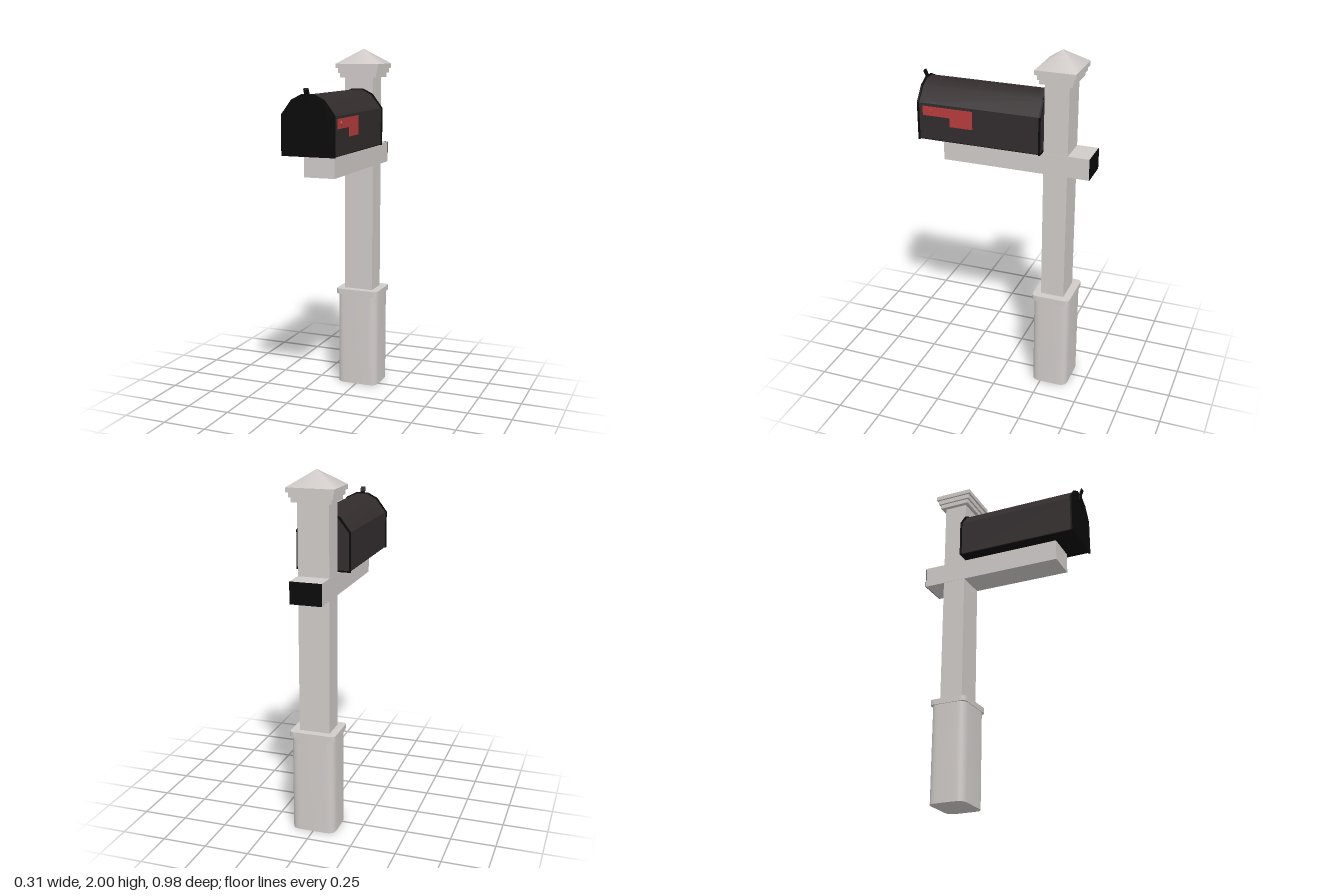
import * as THREE from 'three';
import { toCreasedNormals } from 'three/addons/utils/BufferGeometryUtils.js';

const material = (name, color) => {
  const m = new THREE.MeshStandardMaterial({ color });
  m.name = name;
  return m;
};

export function createModel() {
  const group = new THREE.Group();
  const white = material('weathered white', 0xd0cbc9);
  const brown = material('dark brown metal', 0x322c2d);
  const black = material('black', 0x0a0a0a);
  const red = material('flag red', 0xb83c3c);

  const add = (name, geometry, mat, x = 0, y = 0, z = 0) => {
    const mesh = new THREE.Mesh(geometry, mat);
    mesh.name = name;
    mesh.position.set(x, y, z);
    group.add(mesh);
    return mesh;
  };
  const box = (name, mat, [x0, x1], [y0, y1], [z0, z1]) =>
    add(name, new THREE.BoxGeometry(x1 - x0, y1 - y0, z1 - z0), mat,
      (x0 + x1) / 2, (y0 + y1) / 2, (z0 + z1) / 2);
  const extrude = (shape, depth, curveSegments = 6) =>
    new THREE.ExtrudeGeometry(shape, { depth, bevelEnabled: false, curveSegments });

  // Post and cross arm
  const postZ = -0.301;
  box('post', white, [-0.086, 0.087], [0.02, 1.85], [-0.367, -0.233]);
  box('crossArm', white, [-0.087, 0.088], [1.33, 1.45], [-0.487, 0.345]);
  box('crossArmEnd', black, [-0.087, 0.088], [1.33, 1.45], [-0.49, -0.487]);

  // Base sleeve: rounded rectangle standing upright, with a squarer lip
  const sleeve = (name, w, d, r, y0, y1) => {
    const s = new THREE.Shape();
    s.moveTo(-w + r, -d);
    s.lineTo(w - r, -d).quadraticCurveTo(w, -d, w, -d + r);
    s.lineTo(w, d - r).quadraticCurveTo(w, d, w - r, d);
    s.lineTo(-w + r, d).quadraticCurveTo(-w, d, -w, d - r);
    s.lineTo(-w, -d + r).quadraticCurveTo(-w, -d, -w + r, -d);
    const g = extrude(s, y1 - y0).rotateX(-Math.PI / 2);
    add(name, toCreasedNormals(g, 0.7), white, 0.002, y0, postZ);
  };
  sleeve('baseSleeve', 0.125, 0.106, 0.05, 0, 0.56);
  sleeve('baseSleeveLip', 0.13, 0.11, 0.028, 0.555, 0.586);

  // Stepped post cap with a pyramid roof
  [[0.11, 0.09, 1.838, 1.863], [0.12, 0.1, 1.863, 1.89], [0.13, 0.111, 1.89, 1.915]]
    .forEach(([w, d, y0, y1], i) =>
      box(`capTier${i + 1}`, white, [0.002 - w, 0.002 + w], [y0, y1], [postZ - d, postZ + d]));
  const roof = new THREE.ConeGeometry(Math.SQRT2, 0.085, 4, 4, false, Math.PI / 4);
  roof.scale(0.13, 1, 0.111);
  add('capRoof', roof, white, 0.002, 1.9575, postZ);

  // Mailbox outline, shrunk inwards by t
  const half = [[0.151, 1.455], [0.151, 1.668], [0.092, 1.746], [0.034, 1.775]];
  const outline = (t) => {
    const pts = half.map(([x, y], i) =>
      new THREE.Vector2(x - t * (i === 3 ? 0.3 : 1), i === 0 ? y + t : y - t * (i === 1 ? 0.4 : 1)));
    return [...pts, ...pts.map((p) => new THREE.Vector2(-p.x, p.y)).reverse()];
  };
  const mailX = -0.006;
  const body = extrude(new THREE.Shape(outline(0.006)), 0.688);
  add('mailboxBody', toCreasedNormals(body, 0.6), brown, mailX, 0, -0.225);
  add('mailboxDoor', extrude(new THREE.Shape(outline(0.004)), 0.006), black, mailX, 0, 0.463);
  box('mailboxFloor', black, [mailX - 0.143, mailX + 0.143], [1.457, 1.461], [-0.222, 0.46]);

  // Raised rims at both ends
  for (const [name, z] of [['backRim', -0.231], ['frontRim', 0.461]]) {
    const ring = new THREE.Shape(outline(0));
    ring.holes.push(new THREE.Path(outline(0.008)));
    add(name, extrude(ring, 0.01), black, mailX, 0, z);
  }

  // Bent door handle
  const tab = new THREE.Shape([[0.469, 1.73], [0.477, 1.73], [0.48, 1.775], [0.491, 1.798],
    [0.487, 1.806], [0.475, 1.78]].map(([z, y]) => new THREE.Vector2(-z, y)));
  const handle = extrude(tab, 0.028).rotateY(Math.PI / 2);
  add('doorHandle', handle, black, mailX - 0.014, 0, 0);

  // Signal flag and its pivot
  const flagShape = new THREE.Shape([[0.437, 1.652], [0.437, 1.6], [0.28, 1.6], [0.28, 1.55],
    [0.15, 1.55], [0.15, 1.652]].map(([z, y]) => new THREE.Vector2(-z, y)));
  add('signalFlag', extrude(flagShape, 0.003).rotateY(Math.PI / 2), red, 0.145, 0, 0);
  const pivot = new THREE.CylinderGeometry(0.012, 0.016, 0.016, 12).rotateZ(-Math.PI / 2);
  add('flagPivot', pivot, red, 0.147, 1.627, 0.393);

  return group;
}
